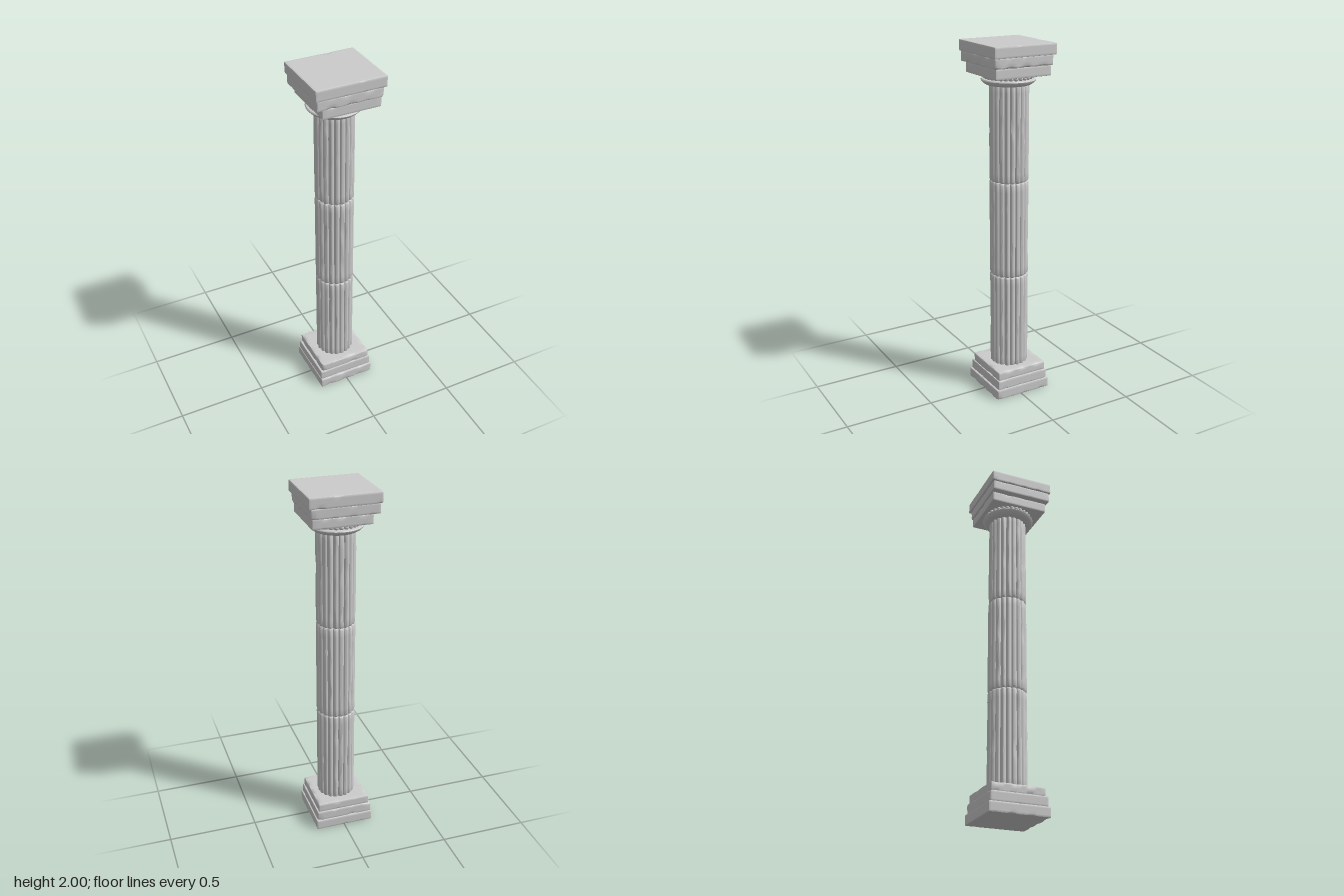
import * as THREE from 'three';
import { toCreasedNormals } from 'three/addons/utils/BufferGeometryUtils.js';

const stone = new THREE.MeshStandardMaterial({ color: 0xcccccc, roughness: 0.9 });
const AXIS_X = -0.001, AXIS_Z = -0.012;

// Smooth repeatable noise, roughly -1..1
function wear(x, y, z, seed) {
  return (Math.sin(x * 61 + seed * 1.7 + Math.sin(z * 43 + seed)) +
    Math.sin(y * 53 + seed * 2.3 + Math.sin(x * 37)) +
    Math.sin(z * 67 + seed * 3.1 + Math.sin(y * 29 + x * 23))) / 3;
}

// Moves every vertex of a geometry by a rule
function reshape(geometry, rule) {
  const pos = geometry.attributes.position, v = new THREE.Vector3();
  for (let i = 0; i < pos.count; i++) {
    rule(v.fromBufferAttribute(pos, i));
    pos.setXYZ(i, v.x, v.y, v.z);
  }
  return geometry;
}

function addMesh(group, name, geometry, crease = 0.6) {
  const mesh = new THREE.Mesh(toCreasedNormals(geometry, crease), stone);
  mesh.name = name;
  group.add(mesh);
  return mesh;
}

// Slab with worn, chipped edges: bevel radius varies along each edge
function slab(group, name, [x0, x1], [y0, y1], [z0, z1], seed) {
  const half = new THREE.Vector3(x1 - x0, y1 - y0, z1 - z0).multiplyScalar(0.5);
  const seg = { x: 32, y: 6, z: 32 };
  const geometry = new THREE.BoxGeometry(half.x * 2, half.y * 2, half.z * 2, seg.x, seg.y, seg.z);
  const inner = new THREE.Vector3();
  reshape(geometry, (p) => {
    // Gather the outer rows of vertices towards the edges
    for (const a of ['x', 'y', 'z']) {
      const k = Math.round((p[a] / half[a] + 1) * seg[a] / 2);
      const rim = Math.min(k, seg[a] - k), side = Math.sign(p[a]);
      if (rim === 1) p[a] = side * (half[a] - 0.004);
      if (rim === 2) p[a] = side * (half[a] - 0.011);
    }
    const chip = Math.max(0, wear(p.x, p.y * 0.8, p.z, seed) - 0.2);
    const r = 0.004 + 0.016 * chip;
    for (const a of ['x', 'y', 'z']) {
      inner[a] = THREE.MathUtils.clamp(p[a], r - half[a], half[a] - r);
    }
    p.sub(inner);
    if (p.length() > r) p.setLength(r);
    p.add(inner);
  });
  addMesh(group, name, geometry)
    .position.set((x0 + x1) / 2, (y0 + y1) / 2, (z0 + z1) / 2);
}

// Fluted drum with rounded ends and weathered ribs
function drum(group, name, y0, y1, seed) {
  const R = 0.108, ribs = 20, rows = 32, h = (y1 - y0) / 2;
  const geometry = new THREE.CylinderGeometry(R, R, h * 2, ribs * 8, rows);
  reshape(geometry, (p) => {
    const k = Math.round((p.y / h + 1) * rows / 2);
    const rim = Math.min(k, rows - k);
    if (rim === 1) p.y = Math.sign(p.y) * (h - 0.004);
    if (rim === 2) p.y = Math.sign(p.y) * (h - 0.011);
    const radius = Math.hypot(p.x, p.z);
    if (radius < 1e-6) return;
    const angle = Math.atan2(p.z, p.x);
    const groove = 0.011 * (1 - Math.pow(Math.abs(Math.cos(angle * ribs / 2)), 0.6));
    const end = [0.007, 0.0025, 0][Math.min(rim, 2)];
    const chip = 0.007 * Math.max(0, wear(p.x * 1.5, p.y * 0.5, p.z * 1.5, seed) - 0.3);
    const s = (R - groove - end - chip) / radius;
    p.x *= s;
    p.z *= s;
  });
  addMesh(group, name, geometry, 0.7).position.set(AXIS_X, (y0 + y1) / 2, AXIS_Z);
}

export function createModel() {
  const column = new THREE.Group();
  column.name = 'column';
  const base = new THREE.Group(), shaft = new THREE.Group(), capital = new THREE.Group();
  base.name = 'base';
  shaft.name = 'shaft';
  capital.name = 'capital';
  column.add(base, shaft, capital);

  // Stepped base
  slab(base, 'baseLowerSlab', [-0.169, 0.166], [0, 0.057], [-0.18, 0.158], 1);
  slab(base, 'baseMiddleSlab', [-0.166, 0.159], [0.055, 0.111], [-0.172, 0.146], 2);
  slab(base, 'baseUpperSlab', [-0.155, 0.15], [0.109, 0.158], [-0.164, 0.14], 3);

  // Three stacked drums
  [0.15, 0.702, 1.247, 1.79].forEach((y, i, ys) => {
    if (i < 3) drum(shaft, 'shaftDrum' + (i + 1), y, ys[i + 1], i + 4);
  });

  // Flared ring under the capital
  const profile = [[0.098, 1.772], [0.122, 1.776], [0.135, 1.784], [0.146, 1.795],
    [0.148, 1.801], [0.144, 1.806], [0.126, 1.809], [0.122, 1.835]]
    .map(([r, y]) => new THREE.Vector2(r, y));
  const ring = addMesh(capital, 'flaredRing', new THREE.LatheGeometry(profile, 64), 0.7);
  ring.position.set(AXIS_X - 0.003, 0, AXIS_Z + 0.002);

  // Row of beads on the ring
  const beads = new THREE.Group();
  beads.name = 'beads';
  beads.position.set(AXIS_X - 0.003, 1.819, AXIS_Z + 0.002);
  const beadGeometry = new THREE.SphereGeometry(0.013, 12, 8);
  for (let i = 0; i < 30; i++) {
    const a = i / 30 * Math.PI * 2;
    const bead = new THREE.Mesh(beadGeometry, stone);
    bead.name = 'bead';
    bead.position.set(Math.cos(a) * 0.125, 0, Math.sin(a) * 0.125);
    beads.add(bead);
  }
  capital.add(beads);

  // Stepped capital, widening upwards
  slab(capital, 'capitalLowerSlab', [-0.153, 0.172], [1.83, 1.887], [-0.166, 0.166], 8);
  slab(capital, 'capitalMiddleSlab', [-0.187, 0.181], [1.885, 1.942], [-0.175, 0.177], 9);
  slab(capital, 'capitalUpperSlab', [-0.196, 0.194], [1.94, 2], [-0.185, 0.183], 10);

  return column;
}
